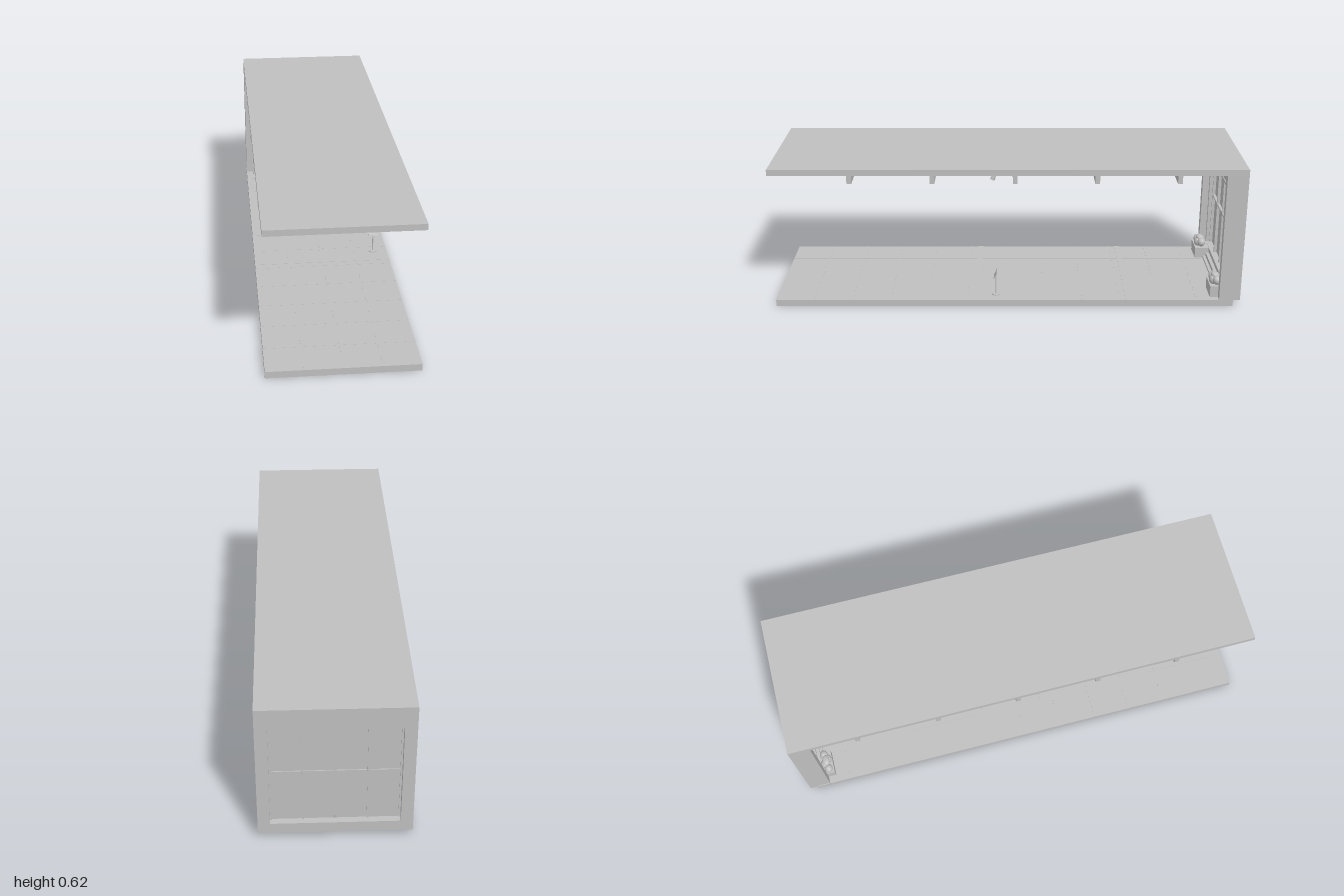
import * as THREE from 'three';

export function createModel() {
  const root = new THREE.Group();
  root.name = 'pavilion';
  const grey = new THREE.MeshStandardMaterial({ color: 0xbfbfbf });
  grey.name = 'plain grey';

  const add = (name, geo, x = 0, y = 0, z = 0, parent = root) => {
    const m = new THREE.Mesh(geo, grey);
    m.name = name;
    m.position.set(x, y, z);
    parent.add(m);
    return m;
  };
  // box given by its limits on each axis
  const box = (name, x0, x1, y0, y1, z0, z1, parent = root) =>
    add(name, new THREE.BoxGeometry(x1 - x0, y1 - y0, z1 - z0),
      (x0 + x1) / 2, (y0 + y1) / 2, (z0 + z1) / 2, parent);

  // floor and roof slabs
  const F = 0.028, C = 0.595;
  box('floorSlab', -0.3, 0.3, 0, F, -0.97, 1);
  box('roofSlab', -0.3, 0.3, C, 0.62, -1, 1);

  // tile joints and double expansion strips
  const joints = new THREE.Group();
  joints.name = 'floorJoints';
  root.add(joints);
  for (const x of [-0.15, 0, 0.15])
    box('longJoint', x - 0.0015, x + 0.0015, F, F + 0.0006, -0.9, 1, joints);
  for (let i = 1; i < 12; i++) {
    const z = 1 - i * 0.165;
    box('crossJoint', -0.3, 0.3, F, F + 0.0006, z - 0.0015, z + 0.0015, joints);
  }
  for (const z of [0.13, -0.52])
    box('expansionStrip', -0.3, 0.3, F, F + 0.001, z - 0.012, z + 0.012, joints);

  // ceiling beams and paired ceiling panels
  for (const z of [0.66, 0.315, -0.03, -0.372, -0.715])
    box('ceilingBeam', -0.3, 0.3, 0.56, C, z - 0.01, z + 0.01);
  for (const z of [0.49, 0.145, -0.2, -0.545, -0.85])
    for (const s of [-1, 1])
      box('ceilingPanel', s * 0.14 - 0.06, s * 0.14 + 0.06, C - 0.004, C, z - 0.047, z + 0.047);

  // back wall with window opening
  const wall = new THREE.Shape([[-0.3, F], [0.3, F], [0.3, C], [-0.3, C]].map(p => new THREE.Vector2(...p)));
  wall.holes.push(new THREE.Path(
    [[-0.252, 0.075], [-0.252, 0.527], [0.252, 0.527], [0.252, 0.075]].map(p => new THREE.Vector2(...p))));
  add('backWall', new THREE.ExtrudeGeometry(wall, { depth: 0.06, bevelEnabled: false }), 0, 0, -1);
  for (const s of [-1, 1])
    box('wallPillar', s * 0.284 - 0.016, s * 0.284 + 0.016, F, C, -0.94, -0.91);
  box('lintel', -0.268, 0.268, 0.556, C, -0.94, -0.912);
  box('lintelStep', -0.268, 0.268, 0.543, 0.556, -0.94, -0.925);
  box('windowHeader', -0.258, 0.258, 0.515, 0.527, -0.975, -0.925);
  box('lowerStep', -0.268, 0.268, F, 0.038, -0.94, -0.912);
  box('upperStep', -0.268, 0.268, 0.038, 0.055, -0.94, -0.925);
  box('sideTrim', -0.303, -0.3, F, 0.038, -0.97, -0.91);

  // window glazing and bars
  box('windowPane', -0.252, 0.252, 0.075, 0.515, -0.972, -0.968);
  for (const x of [-0.2485, -0.125, 0, 0.125, 0.2485])
    box('windowBar', x - 0.0038, x + 0.0038, 0.075, 0.515, -0.977, -0.955);
  box('windowCrossBar', -0.252, 0.252, 0.306, 0.314, -0.976, -0.956);

  // planters with rounded shrubs: x, y, z, rx, ry, rz
  const shrubs = [
    [-0.032, 0.093, -0.897, 0.02, 0.02, 0.018], [0.012, 0.093, -0.892, 0.02, 0.02, 0.017],
    [0.033, 0.099, -0.905, 0.02, 0.02, 0.018], [-0.008, 0.1, -0.908, 0.02, 0.019, 0.018],
    [0.001, 0.114, -0.9, 0.024, 0.011, 0.016]];
  for (const s of [-1, 1]) {
    const planter = new THREE.Group();
    planter.name = 'planter';
    planter.position.x = s * 0.2155;
    root.add(planter);
    box('planterBox', -0.0525, 0.0525, F, 0.078, -0.938, -0.875, planter);
    for (const [x, y, z, a, b, c] of shrubs)
      add('shrub', new THREE.SphereGeometry(1, 20, 14), x, y, z, planter).scale.set(a, b, c);
  }

  // ceiling spotlights
  for (const x of [-0.19, -0.064, 0.064, 0.19]) {
    const arm = add('spotlightArm', new THREE.CylinderGeometry(0.002, 0.002, 0.05, 8), x, 0.575, 0.068);
    arm.rotation.x = 0.5;
    const head = add('spotlightHead', new THREE.CylinderGeometry(0.0075, 0.0105, 0.022, 20), x, 0.551, 0.062);
    head.rotation.x = -0.4;
  }

  // sign stand
  const stand = new THREE.Group();
  stand.name = 'signStand';
  stand.position.set(0.237, 0, 0.052);
  root.add(stand);
  add('standBase', new THREE.CylinderGeometry(0.018, 0.018, 0.004, 24), 0, F + 0.002, 0, stand);
  add('standPole', new THREE.CylinderGeometry(0.0025, 0.0025, 0.085, 10), 0, 0.0725, 0, stand);
  const board = new THREE.Group();
  board.name = 'signBoard';
  board.position.set(0, 0.124, 0.001);
  board.rotation.x = -0.45;
  stand.add(board);
  box('boardPlate', -0.022, 0.022, -0.016, 0.016, -0.002, 0.002, board);
  box('boardHeader', -0.022, 0.022, 0.008, 0.016, 0.002, 0.003, board);
  box('boardStripe', -0.018, 0.006, -0.01, -0.008, 0.002, 0.0025, board);

  return root;
}
